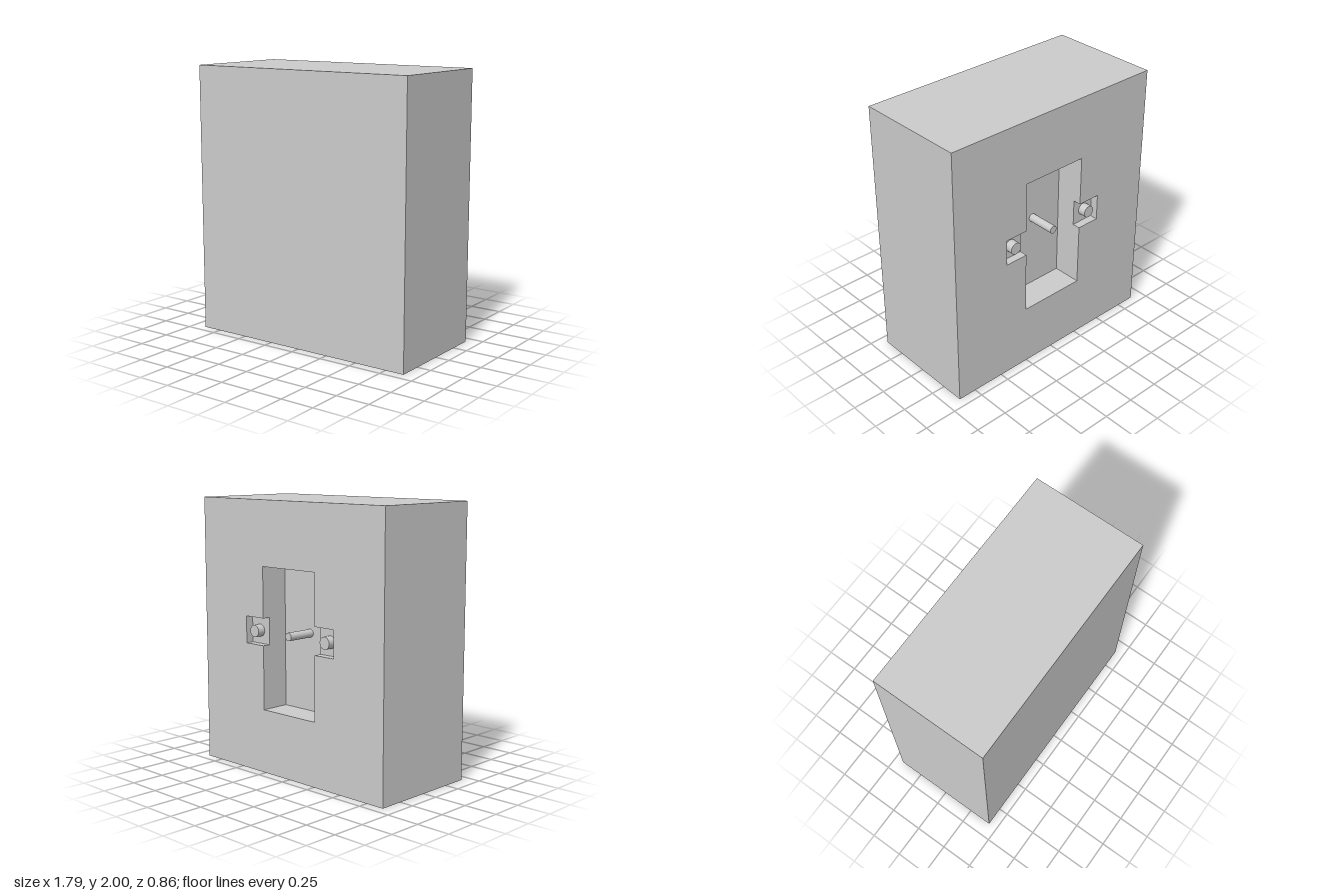
import * as THREE from 'three';
import { mergeGeometries } from 'three/addons/utils/BufferGeometryUtils.js';

const W = 0.895, H = 2, D = 0.43;            // half width, height, half depth
const RX = 0.26, RY0 = 0.475, RY1 = 1.525;   // tall recess
const NX = 0.44, NY0 = 0.95, NY1 = 1.15;     // side notches
const FLOOR = D - 0.22, LEDGE = D - 0.06;    // recess and notch floor levels
const PIN_Y = 1.047;

const rect = (x0, y0, x1, y1) => [[x0, y0], [x1, y0], [x1, y1], [x0, y1]];
const toPath = (pts) => pts.map(([x, y]) => new THREE.Vector2(x, y));

// Flat wall strip along a closed contour; counterclockwise faces outward
function walls(pts, z0, z1) {
  const pos = [];
  pts.forEach(([ax, ay], i) => {
    const [bx, by] = pts[(i + 1) % pts.length];
    pos.push(ax, ay, z0, bx, by, z0, bx, by, z1, ax, ay, z0, bx, by, z1, ax, ay, z1);
  });
  const g = new THREE.BufferGeometry();
  g.setAttribute('position', new THREE.Float32BufferAttribute(pos, 3));
  g.computeVertexNormals();
  return g;
}

// Flat face at depth z, looking along +z
function face(pts, z, hole) {
  const shape = new THREE.Shape(toPath(pts));
  if (hole) shape.holes.push(new THREE.Path(toPath(hole)));
  const g = new THREE.ShapeGeometry(shape).toNonIndexed();
  g.deleteAttribute('uv');
  return g.translate(0, 0, z);
}

export function createModel() {
  const model = new THREE.Group();
  model.name = 'mountingBlock';
  const material = new THREE.MeshStandardMaterial({ color: 0xcccccc });

  // Built with the recessed side toward +z, then turned to the back
  const block = new THREE.Group();
  block.name = 'block';
  block.rotation.y = Math.PI;
  model.add(block);

  const add = (name, geometry) => {
    const mesh = new THREE.Mesh(geometry, material);
    mesh.name = name;
    block.add(mesh);
    return mesh;
  };

  const outer = rect(-W, 0, W, H);
  const recess = rect(-RX, RY0, RX, RY1);
  const cross = [
    [-RX, RY0], [RX, RY0], [RX, NY0], [NX, NY0], [NX, NY1], [RX, NY1],
    [RX, RY1], [-RX, RY1], [-RX, NY1], [-NX, NY1], [-NX, NY0], [-RX, NY0],
  ];

  // Body: four sides, solid front and an opened back
  add('body', mergeGeometries([
    walls(outer, -D, D),
    face(outer, D).rotateY(Math.PI),
    face(outer, D, cross),
  ]));

  // Stepped recess with two shallow notches
  add('recess', mergeGeometries([
    walls([...cross].reverse(), LEDGE, D),
    walls([...recess].reverse(), FLOOR, LEDGE),
    face(recess, FLOOR),
    face(rect(RX, NY0, NX, NY1), LEDGE),
    face(rect(-NX, NY0, -RX, NY1), LEDGE),
  ]));

  // Pins end flush with the back
  const pin = (name, x, radius, base) => {
    const length = D - base;
    const g = new THREE.CylinderGeometry(radius, radius, length, 32).rotateX(Math.PI / 2);
    add(name, g).position.set(x, PIN_Y, base + length / 2);
  };
  pin('centerPin', 0, 0.03, FLOOR);
  pin('leftPeg', -0.355, 0.045, LEDGE);
  pin('rightPeg', 0.355, 0.045, LEDGE);

  return model;
}
